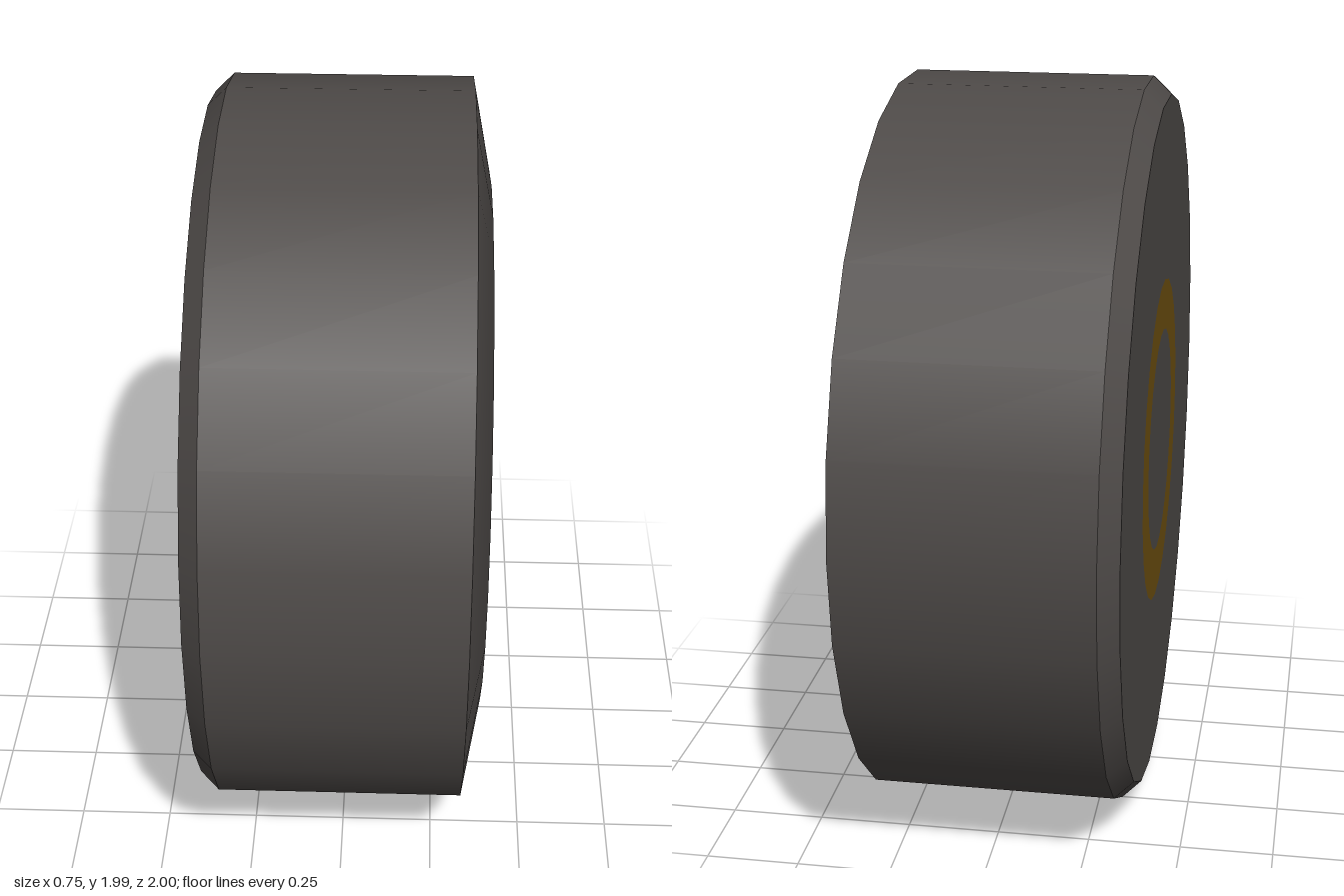
import * as THREE from 'three';

const SIDES = 26;

export function createModel() {
  const model = new THREE.Group();
  const wheel = new THREE.Group();
  wheel.name = 'wheel';
  wheel.position.y = Math.cos(Math.PI / SIDES); // rests on a flat facet
  model.add(wheel);

  const rubber = new THREE.MeshStandardMaterial({ name: 'dark grey', color: 0x4e4a48 });
  const ochre = new THREE.MeshStandardMaterial({ name: 'ochre metal', color: 0x6e5010 });

  // Turns a profile of [radius, x] points about the x axle; each call is one smooth band
  function band(name, material, ...points) {
    const geometry = new THREE.LatheGeometry(points.map(([r, x]) => new THREE.Vector2(r, x)), SIDES);
    geometry.rotateZ(-Math.PI / 2);
    const mesh = new THREE.Mesh(geometry, material);
    mesh.name = name;
    wheel.add(mesh);
  }

  // Tyre
  band('tread', rubber, [1, -0.325], [1, 0.325]);
  band('outerSidewall', rubber, [1, 0.325], [0.74, 0.375], [0.6, 0.338], [0.48, 0.312]);
  band('innerChamfer', rubber, [0.952, -0.375], [1, -0.325]);
  band('innerSidewall', rubber, [0.45, -0.375], [0.952, -0.375]);

  // Recessed rim
  band('rimWall', ochre, [0.48, 0.312], [0.48, 0.16]);
  band('rimGap', rubber, [0.48, 0.16], [0.45, 0.16]);
  band('rimDisc', ochre, [0.45, 0.16], [0.31, 0.16]);
  band('innerRimRing', ochre, [0.31, -0.375], [0.45, -0.375]);

  // Tapered hub
  band('hubSide', rubber, [0.31, 0.16], [0.277, 0.36]);
  band('hubCap', rubber, [0.277, 0.36], [0, 0.36]);
  band('innerHubCap', rubber, [0, -0.375], [0.31, -0.375]);

  // Five wheel bolts
  const boltGeometry = new THREE.CylinderGeometry(0.042, 0.042, 0.02, 12).rotateZ(-Math.PI / 2);
  for (let i = 0; i < 5; i++) {
    const a = (i / 5) * Math.PI * 2 + 0.02;
    const bolt = new THREE.Mesh(boltGeometry, rubber);
    bolt.name = 'bolt';
    bolt.position.set(0.156, 0.373 * Math.cos(a), 0.373 * Math.sin(a));
    wheel.add(bolt);
  }
  return model;
}
